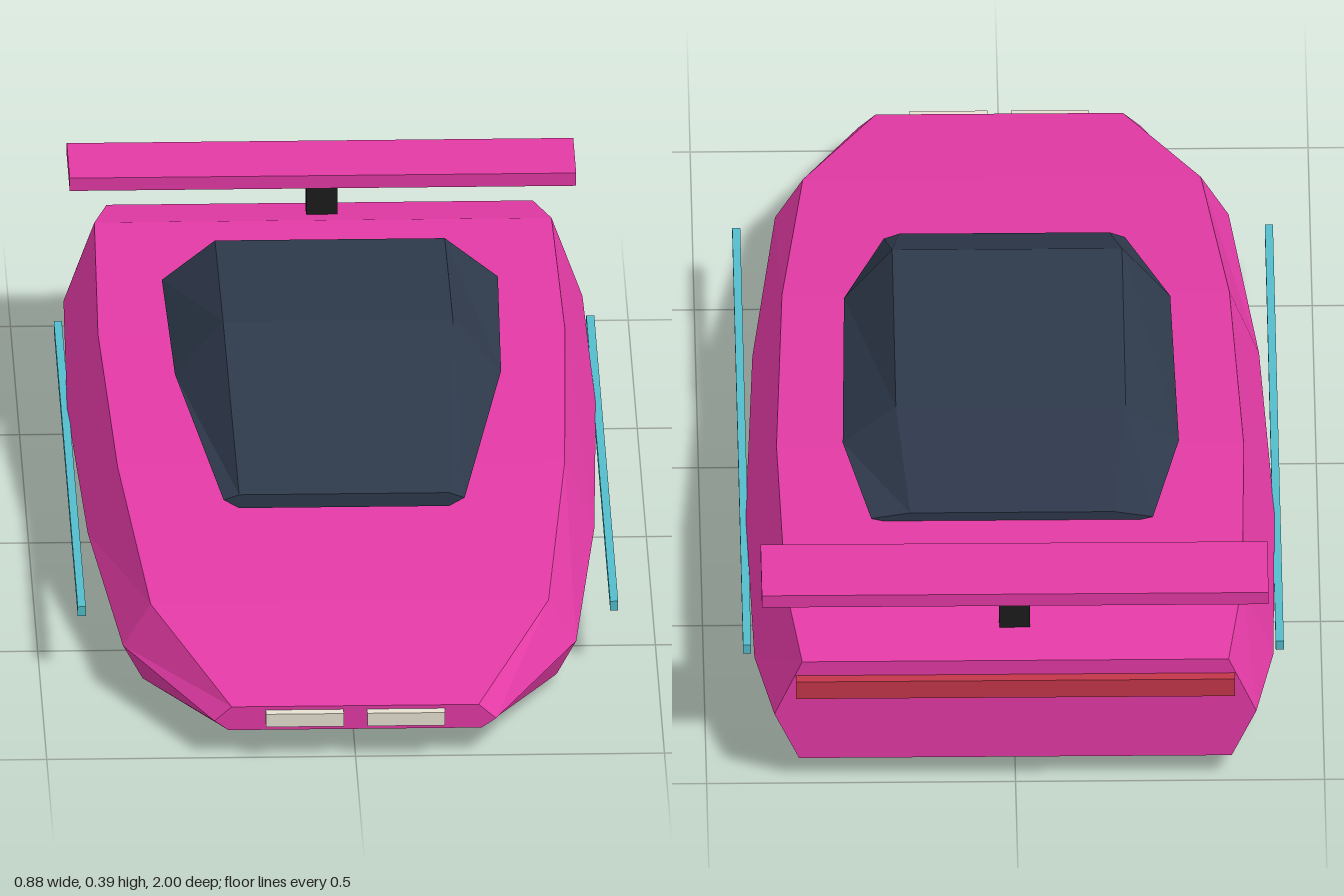
import * as THREE from 'three';

const PINK = 0xe23aa4, BLACK = 0x1b1b1b, GLASS = 0x2d384a;

function mat(color) {
  return new THREE.MeshStandardMaterial({ color, flatShading: true });
}

// Station: [z, bottom half width, bottom y, middle half width, middle y, top half width, top y]
function ring([z, bw, by, mw, my, tw, ty]) {
  return [[bw, by, z], [mw, my, z], [tw, ty, z], [-tw, ty, z], [-mw, my, z], [-bw, by, z]];
}

// Skin the chosen sides of six-point sections running front to back, with optional end caps
function loft(stations, sides, caps) {
  const rings = stations.map(ring);
  const pos = [];
  const tri = (a, b, c) => pos.push(...a, ...b, ...c);
  for (let s = 0; s < rings.length - 1; s++) {
    const A = rings[s], B = rings[s + 1];
    for (const i of sides) {
      const j = (i + 1) % 6;
      tri(A[i], B[i], B[j]);
      tri(A[i], B[j], A[j]);
    }
  }
  if (caps) {
    const F = rings[0], R = rings[rings.length - 1];
    for (let i = 1; i < 5; i++) {
      tri(F[0], F[i], F[i + 1]);
      tri(R[0], R[i + 1], R[i]);
    }
  }
  const geo = new THREE.BufferGeometry();
  geo.setAttribute('position', new THREE.Float32BufferAttribute(pos, 3));
  geo.computeVertexNormals();
  return geo;
}

export function createModel() {
  const model = new THREE.Group();
  model.name = 'wedgeCar';

  const add = (name, geo, color, x = 0, y = 0, z = 0) => {
    const mesh = new THREE.Mesh(geo, mat(color));
    mesh.name = name;
    mesh.position.set(x, y, z);
    model.add(mesh);
  };
  const box = (name, w, h, d, color, x, y, z) =>
    add(name, new THREE.BoxGeometry(w, h, d), color, x, y, z);

  // Wedge body with a dark floor
  const hull = [
    [0.98, 0.205, 0.04, 0.228, 0.056, 0.2, 0.08],
    [0.67, 0.335, 0.015, 0.367, 0.072, 0.322, 0.143],
    [0.2, 0.378, 0.002, 0.41, 0.09, 0.362, 0.206],
    [-0.33, 0.385, 0, 0.428, 0.105, 0.378, 0.236],
    [-0.8, 0.38, 0.006, 0.42, 0.118, 0.37, 0.253],
    [-0.98, 0.35, 0.035, 0.39, 0.118, 0.345, 0.216],
  ];
  add('body', loft(hull, [0, 1, 2, 3, 4], true), PINK);
  add('underside', loft(hull, [5], false), BLACK);

  // Faceted glass canopy
  const canopy = [
    [0.37, 0.17, 0.195, 0.195, 0.209, 0.17, 0.218],
    [0.03, 0.235, 0.222, 0.264, 0.3, 0.186, 0.39],
    [-0.42, 0.24, 0.238, 0.272, 0.295, 0.186, 0.362],
    [-0.585, 0.2, 0.243, 0.228, 0.25, 0.165, 0.26],
  ];
  add('canopy', loft(canopy, [0, 1, 2, 3, 4, 5], true), GLASS);

  // Rear wing on a central strut
  box('rearWing', 0.82, 0.022, 0.162, PINK, 0, 0.319, -0.881);
  box('wingStrut', 0.05, 0.09, 0.042, BLACK, 0, 0.266, -0.881);

  // Lights and side strips
  box('tailLight', 0.71, 0.032, 0.03, 0xc4364a, 0, 0.174, -0.985);
  for (const side of [1, -1]) {
    box('headlight', 0.126, 0.022, 0.03, 0xe6e0d0, side * 0.082, 0.063, 0.985);
    box('sideStrip', 0.013, 0.016, 1.32, 0x52bccb, side * 0.431, 0.098, -0.08);
  }
  return model;
}
